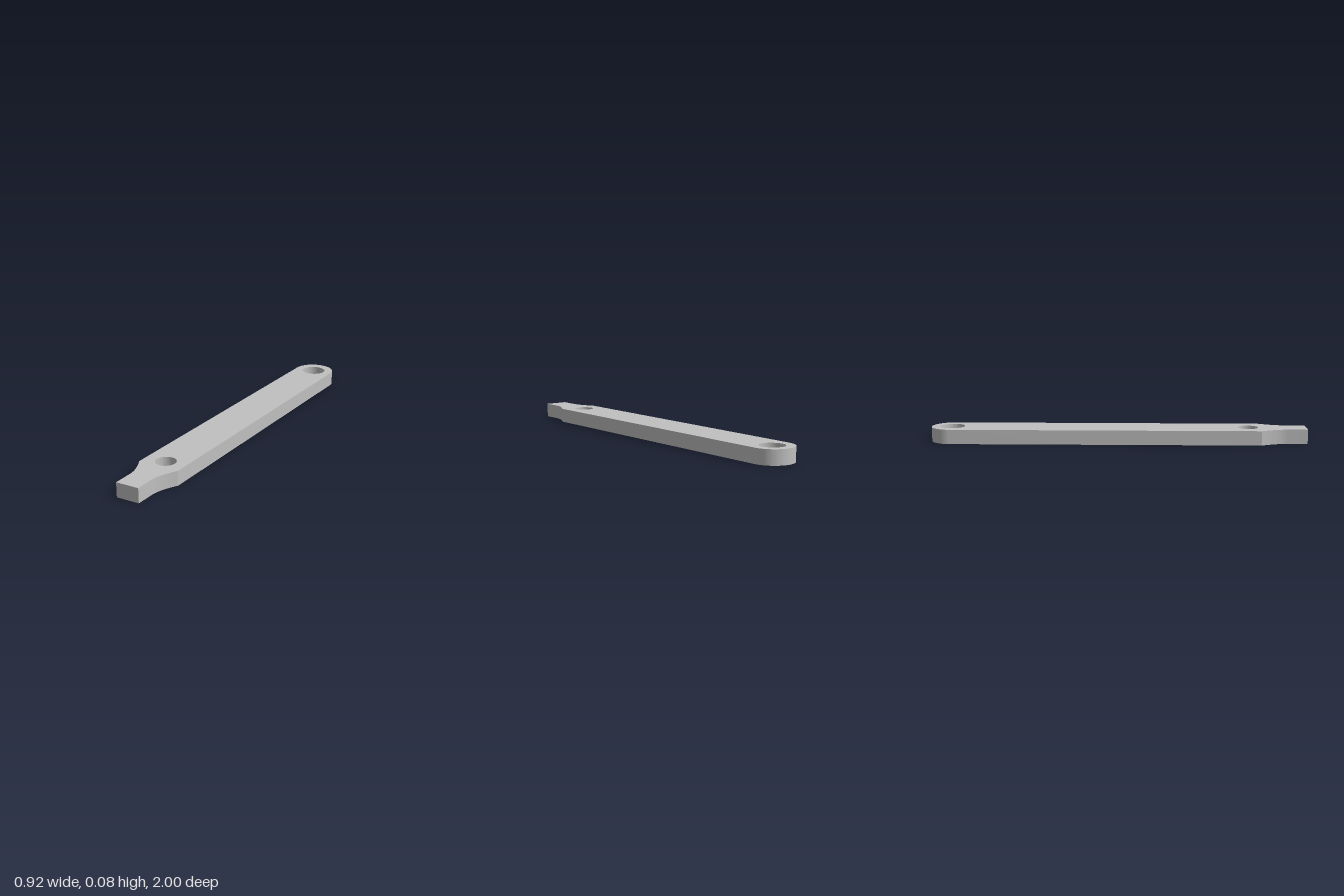
import * as THREE from 'three';
import { toCreasedNormals } from 'three/addons/utils/BufferGeometryUtils.js';

export function createModel() {
  const group = new THREE.Group();
  const grey = new THREE.MeshStandardMaterial({ color: 0xc0c0c0 });
  grey.name = 'plain grey';

  const R = 0.118;        // half width of the bar, radius of its round end
  const neck = 0.066;     // half width of the tongue
  const shoulder = -1.738, blend = -1.83, neckStart = -1.89, tip = -2.0;
  const thickness = 0.081;

  // Outline along the bar, origin at the large hole
  const outline = new THREE.Shape();
  outline.moveTo(R, shoulder);
  outline.lineTo(R, 0);
  outline.absarc(0, 0, R, 0, Math.PI, false);
  outline.lineTo(-R, shoulder);
  outline.quadraticCurveTo(-neck, blend, -neck, neckStart);
  outline.lineTo(-neck, tip);
  outline.lineTo(neck, tip);
  outline.lineTo(neck, neckStart);
  outline.quadraticCurveTo(neck, blend, R, shoulder);

  // Pivot holes: distance along the bar and radius
  for (const [y, r] of [[0, 0.069], [-1.672, 0.056]]) {
    outline.holes.push(new THREE.Path().absarc(0, y, r, 0, Math.PI * 2, true));
  }

  const extruded = new THREE.ExtrudeGeometry(outline, {
    depth: thickness, bevelEnabled: false, curveSegments: 32,
  });
  // Smooth curves, sharp shoulders and rims
  const geometry = toCreasedNormals(extruded, THREE.MathUtils.degToRad(22));
  geometry.rotateX(-Math.PI / 2);

  const bar = new THREE.Mesh(geometry, grey);
  bar.name = 'linkBar';
  bar.rotation.y = -0.382;
  bar.position.set(0.343, 0, -0.882);
  group.add(bar);
  return group;
}
